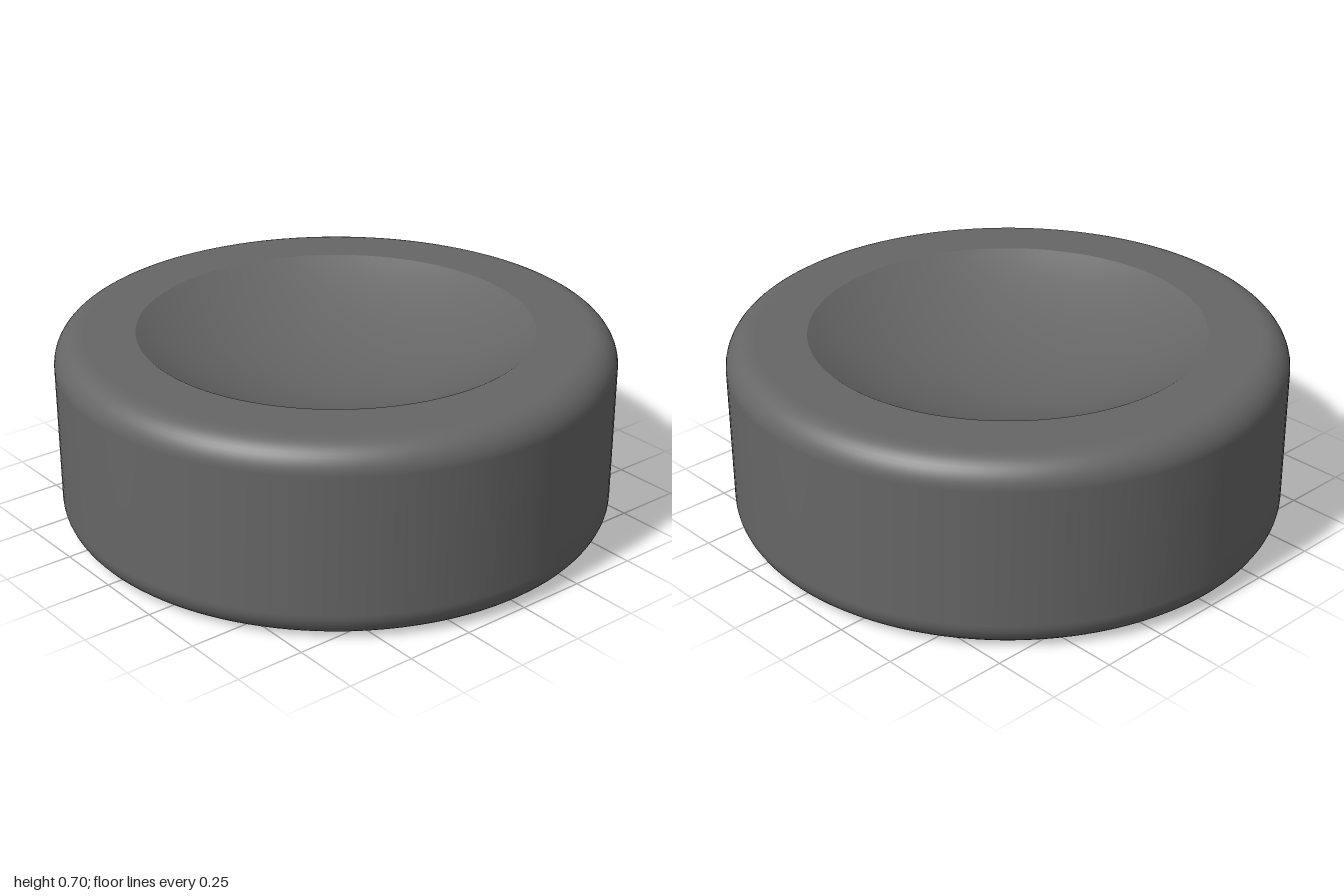
import * as THREE from 'three';

const HEIGHT = 0.7, RADIUS = 1, FILLET = 0.1;
const DISH_RADIUS = 0.71, DISH_DEPTH = 0.2;

// Smooth surface of revolution from a bottom-to-top profile
function turned(name, points, material) {
  const mesh = new THREE.Mesh(new THREE.LatheGeometry(points, 128), material);
  mesh.name = name;
  return mesh;
}

// Points along a circular arc, angles in radians
function arc(cx, cy, r, from, to, steps) {
  return Array.from({ length: steps + 1 }, (_, i) => {
    const a = from + (to - from) * i / steps;
    return new THREE.Vector2(Math.max(0, cx + r * Math.cos(a)), cy + r * Math.sin(a));
  });
}

export function createModel() {
  const group = new THREE.Group();
  group.name = 'dishedPuck';
  const material = new THREE.MeshStandardMaterial({ color: 0x666666 });

  // Flat rims, rounded edges and straight outer wall
  const c = RADIUS - FILLET;
  group.add(turned('body', [
    new THREE.Vector2(DISH_RADIUS, 0),
    new THREE.Vector2(c - 0.01, 0),
    ...arc(c, FILLET, FILLET, -Math.PI / 2, 0, 10),
    ...arc(c, HEIGHT - FILLET, FILLET, 0, Math.PI / 2, 10),
    new THREE.Vector2(c - 0.01, HEIGHT),
    new THREE.Vector2(DISH_RADIUS, HEIGHT),
  ], material));

  // Spherical hollows in the top and bottom faces
  const r = (DISH_RADIUS ** 2 + DISH_DEPTH ** 2) / (2 * DISH_DEPTH);
  const half = Math.asin(DISH_RADIUS / r);
  const lift = r - DISH_DEPTH;
  group.add(turned('topDish',
    arc(0, HEIGHT + lift, r, -Math.PI / 2 + half, -Math.PI / 2, 20), material));
  group.add(turned('bottomDish',
    arc(0, -lift, r, Math.PI / 2, Math.PI / 2 - half, 20), material));

  return group;
}
